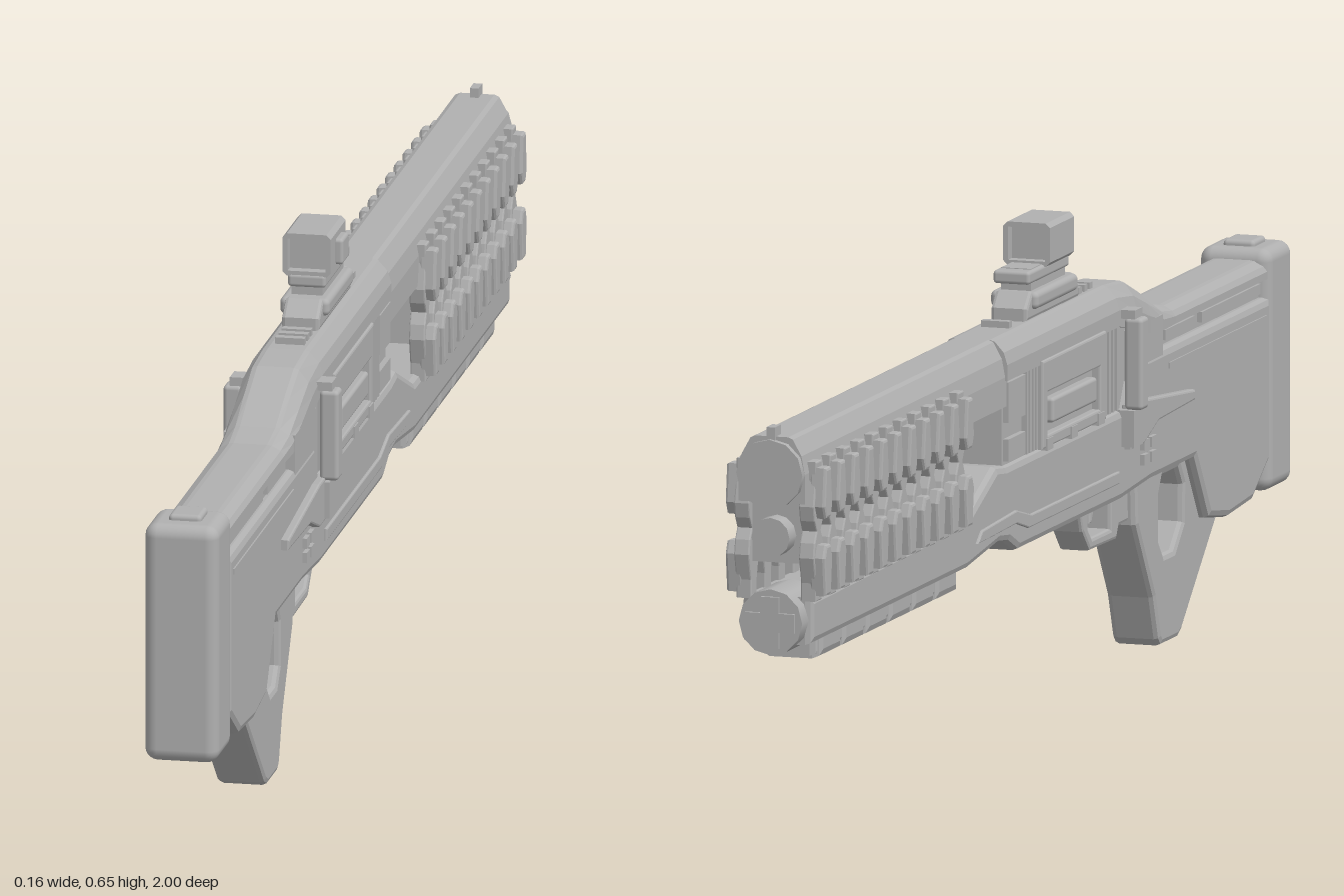
import * as THREE from 'three';
import { RoundedBoxGeometry } from 'three/addons/geometries/RoundedBoxGeometry.js';

const gunGrey = new THREE.MeshStandardMaterial({ color: 0xb0b0b0 });

export function createModel() {
  const root = new THREE.Group();
  const add = (name, geo, x = 0, y = 0, z = 0) => {
    const m = new THREE.Mesh(geo, gunGrey);
    m.name = name;
    m.position.set(x, y, z);
    root.add(m);
    return m;
  };
  const box = (name, w, h, d, x, y, z) => add(name, new THREE.BoxGeometry(w, h, d), x, y, z);
  const rounded = (name, w, h, d, x, y, z, r) => add(name, new RoundedBoxGeometry(w, h, d, 3, r), x, y, z);
  const vec = (pts) => pts.map(([a, b]) => new THREE.Vector2(a, b));

  // Side profile in (z, y), extruded across x with chamfered edges
  const prism = (pts, halfWidth, bevel = 0.008, holes = []) => {
    const shape = new THREE.Shape(vec(pts));
    for (const h of holes) shape.holes.push(new THREE.Path(vec(h)));
    const depth = 2 * (halfWidth - bevel);
    const g = new THREE.ExtrudeGeometry(shape, {
      depth, bevelEnabled: bevel > 0, bevelSize: bevel, bevelThickness: bevel, bevelOffset: -bevel, bevelSegments: 2,
    });
    return g.translate(0, 0, -depth / 2).rotateY(-Math.PI / 2);
  };

  // Chamfer-topped sections [z, top, bottom, halfWidth], skinned from back to front
  const loft = (sections) => {
    const pos = [];
    const rings = sections.map(([z, top, bot, w]) => {
      const c = Math.min(0.05, (top - bot) * 0.6);
      const half = [[w, bot], [w, top - c], [w * 0.9, top - c * 0.5], [w * 0.64, top - c * 0.06], [w * 0.5, top]];
      return [...half, ...half.map(([x, y]) => [-x, y]).reverse()].map(([x, y]) => [x, y, z]);
    });
    const n = rings[0].length, last = rings[rings.length - 1];
    for (let s = 0; s < rings.length - 1; s++) {
      for (let i = 0; i < n; i++) {
        const j = (i + 1) % n;
        const [a, b, c, d] = [rings[s][i], rings[s][j], rings[s + 1][j], rings[s + 1][i]];
        pos.push(...a, ...b, ...c, ...a, ...c, ...d);
      }
    }
    for (let i = 1; i < n - 1; i++) {
      pos.push(...last[0], ...last[i], ...last[i + 1]);
      pos.push(...rings[0][0], ...rings[0][i + 1], ...rings[0][i]);
    }
    const g = new THREE.BufferGeometry();
    g.setAttribute('position', new THREE.Float32BufferAttribute(pos, 3));
    g.computeVertexNormals();
    return g;
  };
  const rod = (name, r, len, y, z, sides = 24, x = 0) =>
    add(name, new THREE.CylinderGeometry(r, r, len, sides).rotateX(Math.PI / 2), x, y, z);

  // Upper housing: barrel cover, receiver roof, ramp and stock top
  add('barrelCover', loft([[-0.99, 0.525, 0.435, 0.047], [-0.16, 0.525, 0.435, 0.047]]));
  add('receiverRoof', loft([
    [-0.17, 0.525, 0.47, 0.05], [0.29, 0.525, 0.47, 0.05], [0.36, 0.52, 0.455, 0.05],
    [0.42, 0.497, 0.44, 0.049], [0.48, 0.47, 0.435, 0.048], [0.53, 0.46, 0.435, 0.046], [0.91, 0.46, 0.435, 0.046],
  ]));
  box('shoulderBlock', 0.098, 0.085, 0.14, 0, 0.415, 0.4);
  box('stockCore', 0.07, 0.05, 0.46, 0, 0.42, 0.68);
  box('receiverCore', 0.084, 0.15, 0.52, 0, 0.415, 0.09);

  // Lower body from stock to fore-end, with a window for the canister
  add('lowerBody', prism([
    [0.91, 0.41], [0.34, 0.41], [0.31, 0.355], [-0.17, 0.355], [-0.21, 0.36], [-0.33, 0.31], [-0.97, 0.305],
    [-0.97, 0.24], [-0.33, 0.24], [-0.2, 0.255], [-0.16, 0.25], [-0.12, 0.232], [0.3, 0.232], [0.42, 0.24],
    [0.6, 0.24], [0.66, 0.15], [0.74, 0.138], [0.84, 0.145], [0.91, 0.19],
  ], 0.05, 0.01, [[
    [0.65, 0.21], [0.86, 0.21], [0.88, 0.23], [0.88, 0.3], [0.86, 0.32], [0.65, 0.32], [0.63, 0.3], [0.63, 0.23],
  ]]));

  // Butt pad
  rounded('buttPad', 0.102, 0.33, 0.1, 0, 0.31, 0.95, 0.018);
  rounded('buttLatch', 0.045, 0.02, 0.05, 0, 0.473, 0.945, 0.006);

  // Canister in the stock window
  rod('canister', 0.038, 0.18, 0.268, 0.755);
  for (const z of [0.655, 0.855]) rod('canisterCap', 0.027, 0.04, 0.268, z);

  // Grip with thumb hole
  add('grip', prism([
    [0.745, 0.145], [0.595, 0.008], [0.578, 0], [0.508, 0], [0.498, 0.01], [0.476, 0.07], [0.405, 0.18],
    [0.4, 0.26], [0.6, 0.26], [0.68, 0.19],
  ], 0.034, 0.008, [[
    [0.52, 0.122], [0.56, 0.122], [0.595, 0.155], [0.597, 0.205], [0.58, 0.23], [0.515, 0.23], [0.5, 0.205], [0.5, 0.145],
  ]]));

  // Trigger and guard
  add('triggerGuard', prism([
    [0.41, 0.25], [0.2, 0.25], [0.22, 0.2], [0.25, 0.17], [0.36, 0.168], [0.37, 0.185], [0.41, 0.185],
  ], 0.022, 0.005, [[[0.335, 0.186], [0.26, 0.186], [0.245, 0.2], [0.245, 0.235], [0.335, 0.235]]]));
  add('trigger', prism([[0.32, 0.24], [0.295, 0.24], [0.288, 0.2], [0.297, 0.2]], 0.008, 0.002));

  // Fore grip in segments under the barrel
  for (let i = 0; i < 6; i++) {
    const z = -0.39 - i * 0.095;
    add('foreGripSegment', prism([
      [z + 0.046, 0.26], [z + 0.046, 0.212], [z - 0.046, 0.212], [z - 0.046, 0.26],
    ], 0.042, 0.012));
  }
  add('foreGripCore', prism([[-0.34, 0.27], [-0.34, 0.216], [-0.915, 0.216], [-0.915, 0.27]], 0.038, 0.01));

  // Muzzle
  rod('upperMuzzle', 0.047, 0.05, 0.475, -0.975, 12);
  add('upperMuzzleRing', new THREE.TorusGeometry(0.03, 0.006, 8, 24), 0, 0.475, -0.994);
  rod('middleMuzzle', 0.027, 0.05, 0.388, -0.97, 12);
  rod('lowerMuzzle', 0.045, 0.09, 0.273, -0.95, 12);
  for (const a of [0, Math.PI / 2]) {
    box('lowerMuzzleCross', 0.07, 0.026, 0.01, 0, 0.273, -0.995).rotation.z = a;
  }
  box('frontSightPost', 0.012, 0.02, 0.025, 0, 0.528, -0.982);

  // Cooling ribs, paired left and right
  const wing = (s) => [[0.012, 0.49], [0.012, 0.465], [0.021, 0.43], [0.017, 0.41], [0.008, 0.395]]
    .map(([z, y]) => [s * z, y]);
  const lower = (p) => p.map(([z, y]) => [z, 0.79 - y]);
  const ribOutline = [...wing(1), ...lower(wing(1)).reverse(), ...lower(wing(-1)), ...wing(-1).reverse()]
    .filter(([, y], i, all) => i === 0 || y !== all[i - 1][1] || Math.abs(all[i][0] - all[i - 1][0]) > 0.001);
  const ribGeo = prism(ribOutline, 0.011, 0.002);
  const lugGeo = prism([[0.011, 0.482], [0.017, 0.43], [0.009, 0.413], [-0.009, 0.413], [-0.017, 0.43], [-0.011, 0.482]], 0.012, 0.004);
  for (let i = 0; i < 11; i++) {
    const z = -0.38 - i * 0.058;
    box('ribLink', 0.07, 0.09, 0.014, 0, 0.395, z);
    for (const s of [-1, 1]) {
      add('coolingRib', ribGeo, s * 0.046, 0, z);
      add('upperRibLug', lugGeo, s * 0.059, 0, z);
      const low = add('lowerRibLug', lugGeo, s * 0.059, 0.79, z);
      low.rotation.z = Math.PI;
    }
  }

  // Side details, mirrored
  for (const s of [-1, 1]) {
    // Upright charging plate and its brackets
    rounded('sidePlate', 0.026, 0.125, 0.03, s * 0.066, 0.418, 0.313, 0.006);
    box('plateBracketTop', 0.03, 0.012, 0.03, s * 0.055, 0.486, 0.31);
    box('plateBracketLow', 0.028, 0.05, 0.035, s * 0.054, 0.33, 0.315);
    add('sideArm', prism([
      [0.57, 0.34], [0.36, 0.36], [0.31, 0.36], [0.31, 0.3], [0.36, 0.3], [0.42, 0.322], [0.57, 0.326],
    ], 0.008, 0.003), s * 0.053);

    // Ejection panel frame with raised insert
    add('panelFrame', prism([[0.225, 0.475], [0.225, 0.355], [-0.035, 0.355], [-0.035, 0.475]], 0.008, 0.003, [
      [[0.2, 0.43], [-0.015, 0.43], [-0.015, 0.372], [0.2, 0.372]],
    ]), s * 0.046);
    rounded('panelInsert', 0.02, 0.034, 0.18, s * 0.045, 0.402, 0.095, 0.005);
    for (const z of [0.2, 0.09, -0.01]) box('panelTab', 0.012, 0.016, 0.025, s * 0.05, 0.36, z);

    // Vent bars either side of the panel
    for (const z of [0.282, 0.266, 0.25, 0.234, -0.047, -0.06, -0.073, -0.086]) {
      box('ventBar', 0.012, 0.115, 0.007, s * 0.044, 0.415, z);
    }
    box('foreBlock', 0.012, 0.055, 0.07, s * 0.044, 0.44, -0.13);
    box('foreRail', 0.012, 0.03, 0.07, s * 0.044, 0.375, -0.13);

    // Stock groove bars and body seam
    box('stockBarRear', 0.012, 0.014, 0.24, s * 0.036, 0.424, 0.77);
    box('stockBarFront', 0.012, 0.014, 0.12, s * 0.036, 0.424, 0.56);
    box('stockSeam', 0.004, 0.008, 0.4, s * 0.05, 0.385, 0.69);

    // Control buttons
    for (const z of [0.415, 0.385]) for (const y of [0.275, 0.295]) {
      box('controlButton', 0.01, 0.014, 0.022, s * 0.051, y, z);
    }

    // Canister clamps and fore-end ridge
    for (const z of [0.68, 0.73, 0.78, 0.83]) for (const y of [0.222, 0.31]) {
      box('canisterClamp', 0.016, 0.016, 0.016, s * 0.035, y, z);
    }
    add('foreRidge', prism([[0.28, 0.275], [-0.08, 0.275], [-0.14, 0.29], [-0.28, 0.285], [-0.3, 0.27], [-0.14, 0.272], [-0.09, 0.258], [0.28, 0.258]], 0.004, 0.002), s * 0.05);
  }

  // Sight rail, neck and hollow optic
  for (const z of [0.26, 0.238, 0.216, -0.07]) box('topRailBar', 0.04, 0.012, 0.012, 0, 0.528, z);
  add('sightRail', prism([[0.195, 0.525], [0.195, 0.542], [0.17, 0.562], [0, 0.562], [-0.02, 0.542], [-0.02, 0.525]], 0.026, 0.005));
  rounded('sightClamp', 0.068, 0.024, 0.17, 0, 0.55, 0.085, 0.008);
  box('sightNeck', 0.042, 0.036, 0.14, 0, 0.574, 0.08);
  rounded('sightDeck', 0.052, 0.018, 0.165, 0, 0.582, 0.072, 0.005);
  const frame = new THREE.Shape(vec([
    [-0.027, 0.588], [0.027, 0.588], [0.033, 0.594], [0.033, 0.641], [0.027, 0.647],
    [-0.027, 0.647], [-0.033, 0.641], [-0.033, 0.594],
  ]));
  frame.holes.push(new THREE.Path(vec([[-0.026, 0.595], [-0.026, 0.64], [0.026, 0.64], [0.026, 0.595]])));
  add('opticHousing', new THREE.ExtrudeGeometry(frame, { depth: 0.1, bevelEnabled: false }), 0, 0, 0.053);
  box('opticLens', 0.053, 0.046, 0.07, 0, 0.6175, 0.103);
  rounded('opticKnob', 0.014, 0.036, 0.04, 0.036, 0.615, 0.1, 0.005);

  return root;
}
